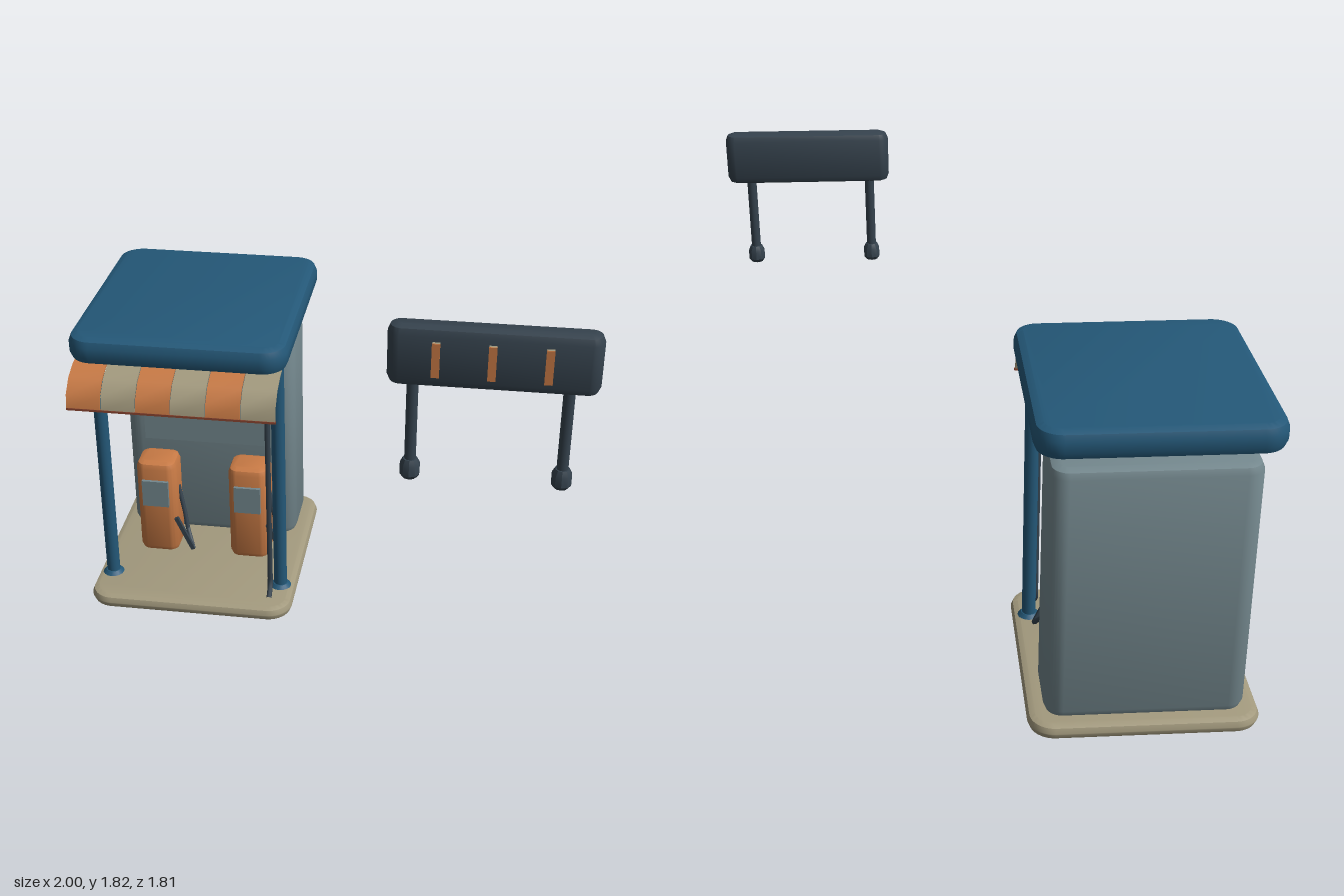
import * as THREE from 'three';
import { toCreasedNormals } from 'three/addons/utils/BufferGeometryUtils.js';

const mat = (name, color, side = THREE.FrontSide) => {
  const m = new THREE.MeshStandardMaterial({ color, side });
  m.name = name;
  return m;
};

export function createModel() {
  const blue = mat('blue paint', 0x245878);
  const orange = mat('orange paint', 0xc87a45);
  const beige = mat('beige concrete', 0xa39a7e);
  const grey = mat('grey wall', 0x74888e);
  const dark = mat('dark slate', 0x35424d);
  const rust = mat('rust trim', 0x8c4630);

  const model = new THREE.Group();
  model.name = 'fuelStation';

  const add = (parent, name, geometry, material, x = 0, y = 0, z = 0) => {
    const mesh = new THREE.Mesh(geometry, material);
    mesh.name = name;
    mesh.position.set(x, y, z);
    parent.add(mesh);
    return mesh;
  };

  // Block with rounded plan corners and bevelled rims, standing on y = 0
  const slab = (w, h, d, r, b) => {
    const x = w / 2 - b, y = d / 2 - b, q = r - b;
    const s = new THREE.Shape();
    s.absarc(x - q, y - q, q, 0, Math.PI / 2);
    s.absarc(-x + q, y - q, q, Math.PI / 2, Math.PI);
    s.absarc(-x + q, -y + q, q, Math.PI, Math.PI * 1.5);
    s.absarc(x - q, -y + q, q, Math.PI * 1.5, Math.PI * 2);
    s.closePath();
    const g = new THREE.ExtrudeGeometry(s, {
      depth: h - 2 * b, bevelThickness: b, bevelSize: b, bevelSegments: 2, curveSegments: 5,
    });
    g.rotateX(-Math.PI / 2).translate(0, b, 0);
    return toCreasedNormals(g, 0.7);
  };
  const box = (w, h, d) => new THREE.BoxGeometry(w, h, d);
  const rod = (r, h, n = 12) => new THREE.CylinderGeometry(r, r, h, n);
  const v = (x, y, z) => new THREE.Vector3(x, y, z);

  // Pipe through straight runs
  const pipe = (points, r) => {
    const path = new THREE.CurvePath();
    for (let i = 1; i < points.length; i++) path.add(new THREE.LineCurve3(points[i - 1], points[i]));
    return new THREE.TubeGeometry(path, 24, r, 8, false);
  };

  const cx = -0.565;

  // Base, kiosk and roof
  add(model, 'base', slab(0.87, 0.06, 0.94, 0.1, 0.028), beige, cx, 0, -0.42);
  add(model, 'kiosk', slab(0.75, 1.04, 0.315, 0.07, 0.035), grey, cx, 0.06, -0.6825);
  add(model, 'kioskPanel', box(0.58, 0.27, 0.015), grey, cx, 0.665, -0.5175);
  add(model, 'roof', slab(0.87, 0.11, 0.965, 0.1, 0.035), blue, cx, 1.17, -0.4225);
  add(model, 'soffit', box(0.76, 0.008, 0.82), blue, cx, 1.167, -0.41);

  for (const side of [-1, 1]) {
    // Roof posts with foot plates, and lamps
    const px = cx + side * 0.37;
    add(model, 'roofPost', rod(0.028, 1.12, 16), blue, px, 0.62, -0.147);
    add(model, 'postFoot', new THREE.CylinderGeometry(0.032, 0.046, 0.016, 16), blue, px, 0.067, -0.147);
    add(model, 'roofLamp', rod(0.045, 0.014, 20), beige, cx + side * 0.245, 1.161, -0.215);

    // Fuel pump with screen, hose and nozzle
    const pump = new THREE.Group();
    pump.name = 'pump';
    pump.position.set(cx + side * 0.2025, 0, -0.385);
    add(pump, 'pumpBody', slab(0.175, 0.45, 0.16, 0.045, 0.028), orange, 0, 0.07, 0);
    add(pump, 'pumpScreen', box(0.115, 0.125, 0.016), grey, 0, 0.3775, 0.085);
    add(pump, 'hose', pipe([v(0.082, 0.38, 0), v(0.112, 0.25, 0.024), v(0.125, 0.18, 0.04),
      v(0.16, 0.115, 0.098)], 0.01), dark);
    const nozzle = add(pump, 'nozzle', box(0.018, 0.17, 0.015), dark, 0.125, 0.19, 0.098);
    nozzle.rotation.z = 0.42;
    model.add(pump);
  }

  // Rain pipe with kicked-out foot
  add(model, 'rainPipe', pipe([v(-0.228, 1.17, -0.083), v(-0.228, 0.095, -0.083), v(-0.228, 0.06, -0.042)], 0.011), dark);

  // Curved awning of alternating stripes
  const curve = [[-0.02, 1.172], [0.03, 1.164], [0.095, 1.138], [0.145, 1.088], [0.155, 1.032]];
  const profile = new THREE.Shape();
  curve.forEach(([z, y], i) => (i ? profile.lineTo(-z, y) : profile.moveTo(-z, y)));
  [...curve].reverse().forEach(([z, y]) => profile.lineTo(-z + 0.006, y - 0.006));
  profile.closePath();
  for (let i = 0; i < 6; i++) {
    const g = new THREE.ExtrudeGeometry(profile, { depth: 0.134, bevelEnabled: false });
    g.rotateY(Math.PI / 2);
    add(model, 'awningStripe', toCreasedNormals(g, 0.8), i % 2 ? beige : orange, -0.975 + i * 0.1375);
  }
  add(model, 'awningTrim', box(0.825, 0.009, 0.01), rust, -0.5625, 1.03, 0.152);

  // Sign board on two short legs
  const sign = new THREE.Group();
  sign.name = 'sign';
  sign.position.set(0.665, 0, 0.84);
  add(sign, 'signBoard', slab(0.67, 0.21, 0.092, 0.045, 0.03), dark, 0, 1.61, 0);
  for (const i of [-1, 0, 1]) {
    add(sign, 'signBar', box(0.024, 0.115, 0.016), beige, i * 0.175 - 0.005, 1.7175, 0.051);
    add(sign, 'signBarFace', box(0.026, 0.117, 0.004), orange, i * 0.175 - 0.005, 1.7175, 0.06);
  }
  const foot = [[0, 0], [0.024, 0], [0.034, 0.014], [0.034, 0.05], [0.024, 0.07], [0, 0.07]]
    .map(([r, y]) => new THREE.Vector2(r, y));
  for (const side of [-1, 1]) {
    add(sign, 'signLeg', rod(0.019, 0.34), dark, side * 0.246 - 0.006, 1.46, 0);
    add(sign, 'signFoot', toCreasedNormals(new THREE.LatheGeometry(foot, 10), 0.5), dark, side * 0.246 - 0.006, 1.26, 0);
  }
  model.add(sign);

  return model;
}
